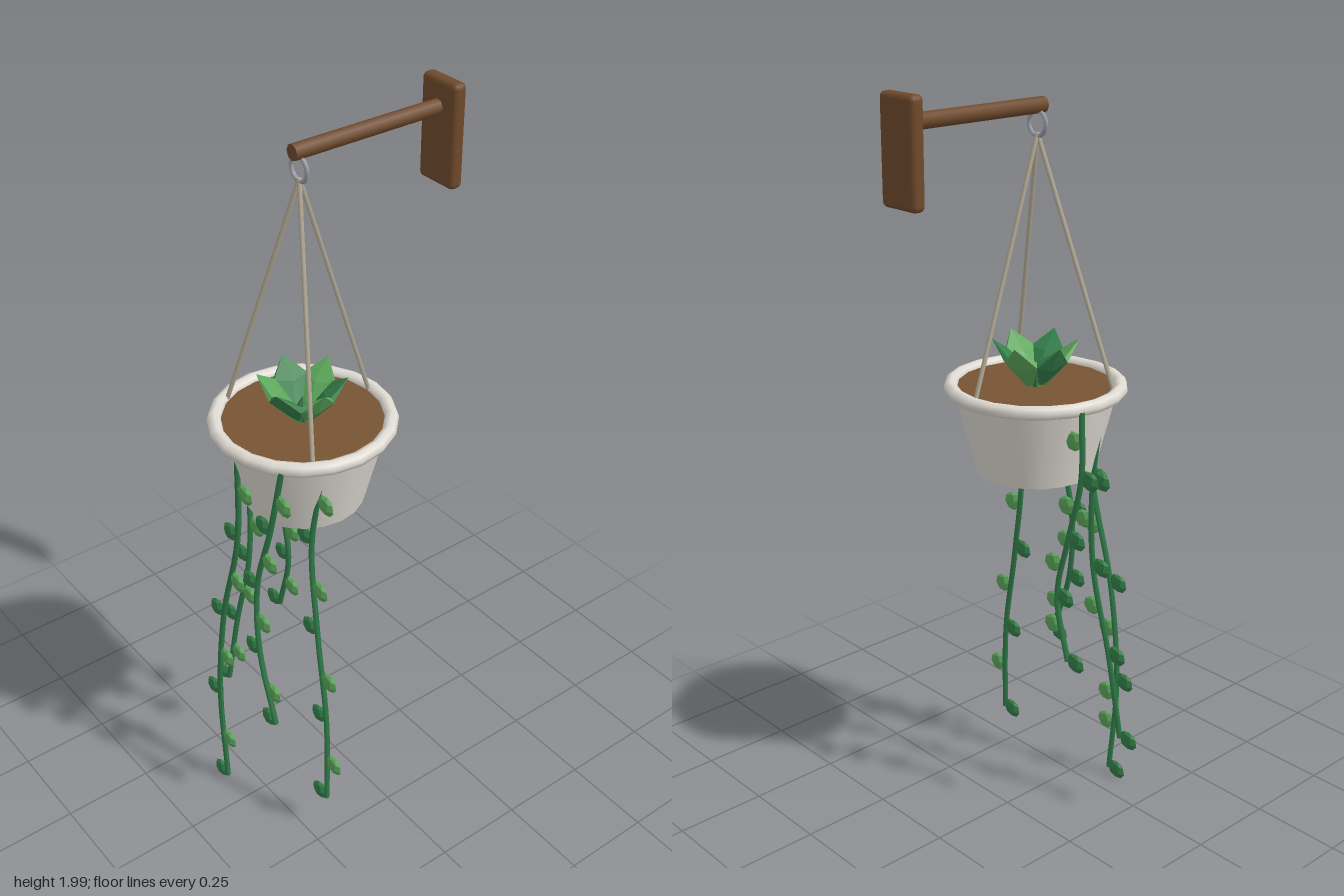
import * as THREE from 'three';
import { RoundedBoxGeometry } from 'three/addons/geometries/RoundedBoxGeometry.js';
import { ConvexGeometry } from 'three/addons/geometries/ConvexGeometry.js';

const V = (x, y, z) => new THREE.Vector3(x, y, z);
const mat = (color, flatShading = false) => new THREE.MeshStandardMaterial({ color, flatShading });
const POT_Z = 0.098;
const VINE_TOP = 1.225;
const LEAVES_PER_VINE = 8;

const wood = mat(0x6f4a2c), soilMat = mat(0x785434), ceramic = mat(0xe0dcd4);
const ropeMat = mat(0xb5ab98), metal = mat(0x9a9ea6);
const stemMat = mat(0x2f7a48), leafMats = [mat(0x5da85c, true), mat(0x35804a, true)];

function add(parent, name, geometry, material, x = 0, y = 0, z = 0) {
  const mesh = new THREE.Mesh(geometry, material);
  mesh.name = name;
  mesh.position.set(x, y, z);
  parent.add(mesh);
  return mesh;
}

// Straight cylinder between two points
function rod(parent, name, a, b, radius, sides, material) {
  const mesh = add(parent, name, new THREE.CylinderGeometry(radius, radius, a.distanceTo(b), sides), material);
  mesh.position.copy(a).add(b).multiplyScalar(0.5);
  mesh.quaternion.setFromUnitVectors(V(0, 1, 0), b.clone().sub(a).normalize());
}

// Trailing vine: sideways positions at even drops, with leaves alternating along it
function buildVine(bottom, zTop, zBottom, xs) {
  const group = new THREE.Group();
  group.name = 'vine';
  const { lerp } = THREE.MathUtils;
  const curve = new THREE.CatmullRomCurve3(xs.map((x, i) => {
    const t = i / (xs.length - 1);
    return V(x, lerp(VINE_TOP, bottom, t), lerp(zTop, zBottom, t));
  }));
  add(group, 'stem', new THREE.TubeGeometry(curve, 28, 0.008, 5), stemMat);
  const leafGeo = new THREE.SphereGeometry(1, 6, 4).scale(0.032, 0.026, 0.011);
  for (let i = 0; i < LEAVES_PER_VINE; i++) {
    const side = i % 2 ? -1 : 1;
    const p = curve.getPointAt(lerp(0.12, 1, i / (LEAVES_PER_VINE - 1)));
    const leaf = add(group, 'vineLeaf', leafGeo, leafMats[i % 2], p.x + side * 0.03, p.y + 0.004, p.z);
    leaf.rotation.z = side * -0.25;
  }
  return group;
}

// Rosette of six thick pointed leaves around a small core
function buildSucculent() {
  const group = new THREE.Group();
  group.name = 'succulent';
  group.position.set(0, 1.232, POT_Z);
  const points = [V(0, 0.155, 0), V(0, 0.08, -0.016), V(0, 0.08, 0.016)];
  for (const sx of [-1, 1]) {
    for (const sz of [-1, 1]) {
      points.push(V(sx * 0.018, 0, sz * 0.008), V(sx * 0.045, 0.095, sz * 0.007));
    }
  }
  const leafGeo = new ConvexGeometry(points);
  for (let i = 0; i < 6; i++) {
    const a = THREE.MathUtils.degToRad(8 + i * 61);
    const leaf = add(group, 'succulentLeaf', leafGeo, leafMats[i % 2], Math.cos(a) * 0.012, 0, Math.sin(a) * 0.012);
    leaf.rotation.set(0.7, Math.PI / 2 - a, 0, 'YXZ');
  }
  add(group, 'succulentCore', new THREE.ConeGeometry(0.03, 0.06, 6), leafMats[1], 0, 0.03, 0);
  return group;
}

export function createModel() {
  const model = new THREE.Group();
  model.name = 'hangingPlanter';

  // Wall bracket
  add(model, 'wallPlate', new RoundedBoxGeometry(0.122, 0.262, 0.038, 2, 0.014), wood, 0, 1.869, -0.319);
  rod(model, 'bracketArm', V(0, 1.932, -0.31), V(0, 1.932, 0.117), 0.02, 8, wood);
  add(model, 'hangingRing', new THREE.TorusGeometry(0.03, 0.0055, 6, 16), metal, 0, 1.889, POT_Z);

  // Pot, rim and soil
  add(model, 'pot', new THREE.CylinderGeometry(0.212, 0.155, 0.225, 20), ceramic, 0, 1.1125, POT_Z);
  const rim = add(model, 'potRim', new THREE.TorusGeometry(0.219, 0.0185, 8, 20), ceramic, 0, 1.226, POT_Z);
  rim.rotation.x = Math.PI / 2;
  add(model, 'soil', new THREE.CylinderGeometry(0.205, 0.2, 0.02, 20), soilMat, 0, 1.219, POT_Z);

  // Three ropes from the ring to the rim
  for (let i = 0; i < 3; i++) {
    const a = Math.PI / 6 + (i * Math.PI * 2) / 3;
    const foot = V(Math.cos(a) * 0.206, 1.23, POT_Z + Math.sin(a) * 0.206);
    rod(model, 'rope', V(0, 1.866, POT_Z), foot, 0.006, 6, ropeMat);
  }

  // Plants: front, front left, left, right and rear right vines
  model.add(
    buildSucculent(),
    buildVine(0.03, 0.283, 0.322, [-0.02, -0.02, -0.09, -0.115, -0.085]),
    buildVine(0.4, 0.272, 0.3, [0.15, 0.105, 0.05, 0.06, 0.135]),
    buildVine(0.14, 0.165, 0.207, [0.185, 0.135, 0.17, 0.22, 0.235]),
    buildVine(0.24, 0.165, 0.207, [-0.18, -0.137, -0.135, -0.19, -0.232]),
    buildVine(0.5, 0.04, 0.07, [-0.225, -0.22, -0.17, -0.125, -0.16]),
  );
  return model;
}
